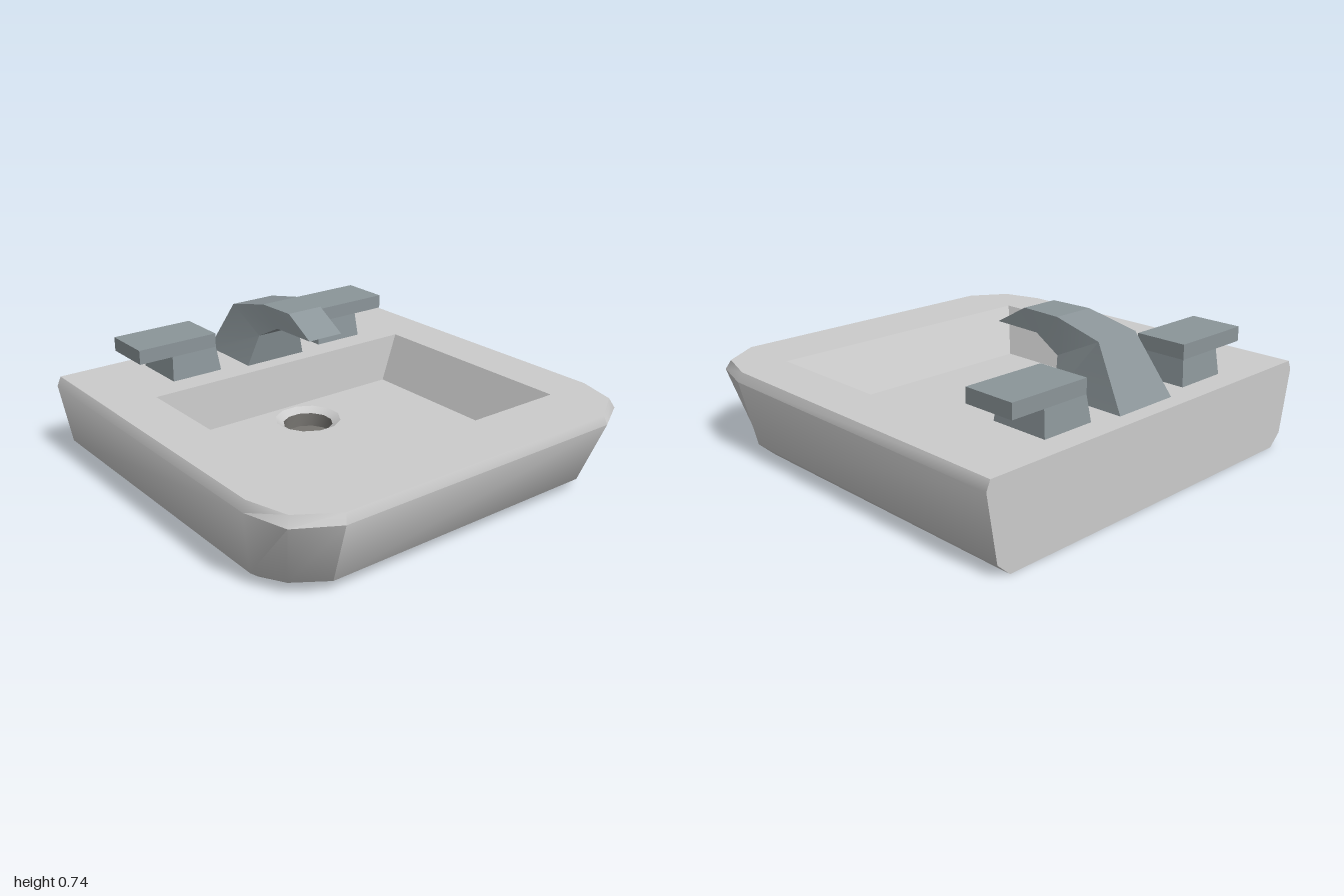
import * as THREE from 'three';
import { toCreasedNormals } from 'three/addons/utils/BufferGeometryUtils.js';

const ceramic = new THREE.MeshStandardMaterial({ color: 0xcccccc });
const metal = new THREE.MeshStandardMaterial({ color: 0x8b9599 });
const dark = new THREE.MeshStandardMaterial({ color: 0x767470 });

// Skin a stack of rings, each counter-clockwise seen from above, with optional end caps.
function loft(rings, { start = false, end = false, crease = 0.2 } = {}) {
  const n = rings[0].length, index = [];
  for (let r = 0; r < rings.length - 1; r++) {
    for (let i = 0; i < n; i++) {
      const j = (i + 1) % n, a = r * n, b = a + n;
      index.push(a + i, a + j, b + j, a + i, b + j, b + i);
    }
  }
  const last = (rings.length - 1) * n;
  for (let i = 1; i < n - 1; i++) {
    if (start) index.push(0, i + 1, i);
    if (end) index.push(last, last + i, last + i + 1);
  }
  const g = new THREE.BufferGeometry();
  g.setAttribute('position', new THREE.Float32BufferAttribute(rings.flat(2), 3));
  g.setIndex(index);
  return toCreasedNormals(g, crease);
}

// Flat upward-facing surface bounded by one ring, with another ring cut out.
function plateWithHole(outer, hole) {
  const flat = ring => ring.map(([x, , z]) => new THREE.Vector2(x, -z));
  const shape = new THREE.Shape(flat(outer));
  shape.holes.push(new THREE.Path(flat(hole)));
  return new THREE.ShapeGeometry(shape).rotateX(-Math.PI / 2).translate(0, outer[0][1], 0);
}

function rect(y, x0, x1, zBack, zFront) {
  return [[x1, y, zFront], [x1, y, zBack], [x0, y, zBack], [x0, y, zFront]];
}

function circle(y, radius, z, sides = 12) {
  return Array.from({ length: sides }, (_, i) => {
    const a = (i + 0.5) / sides * Math.PI * 2;
    return [radius * Math.cos(a), y, z - radius * Math.sin(a)];
  });
}

// Basin outline: straight back, two-facet front corners.
function outline(y, w, zSide, xCorner, zCorner, xFront, zFront) {
  return [
    [w, y, zSide], [w, y, -0.99], [-w, y, -0.99], [-w, y, zSide],
    [-xCorner, y, zCorner], [-xFront, y, zFront], [xFront, y, zFront], [xCorner, y, zCorner],
  ];
}

function add(parent, name, geometry, material) {
  const mesh = new THREE.Mesh(geometry, material);
  mesh.name = name;
  parent.add(mesh);
  return mesh;
}

export function createModel() {
  const model = new THREE.Group();
  model.name = 'washbasin';

  // Basin body and rim
  const basin = new THREE.Group();
  basin.name = 'basin';
  model.add(basin);
  const shell = [
    outline(0, 0.88, 0.58, 0.80, 0.70, 0.66, 0.79),
    outline(0.06, 0.945, 0.62, 0.87, 0.77, 0.72, 0.87),
    outline(0.37, 1.0, 0.67, 0.94, 0.88, 0.75, 0.99),
    outline(0.415, 0.98, 0.66, 0.92, 0.86, 0.74, 0.975),
  ];
  const bowlRim = rect(0.415, -0.74, 0.74, -0.46, 0.66);
  const bowlFoot = rect(0.175, -0.645, 0.645, -0.45, 0.55);
  add(basin, 'outerShell', loft(shell, { start: true, crease: 0.7 }), ceramic);
  add(basin, 'rim', plateWithHole(shell[3], bowlRim), ceramic);
  add(basin, 'bowlWalls', loft([bowlRim, bowlFoot]), ceramic);

  // Bowl floor with a bevelled drain
  const drainZ = -0.27;
  const drainTop = circle(0.175, 0.165, drainZ);
  const drainLip = circle(0.15, 0.125, drainZ);
  add(basin, 'bowlFloor', plateWithHole(bowlFoot, drainTop), ceramic);
  add(basin, 'drainBevel', loft([drainTop, drainLip], { crease: 0.7 }), ceramic);
  add(basin, 'drainWell', loft([drainLip, circle(0.08, 0.125, drainZ)], { end: true, crease: 0.7 }), dark);

  // Spout: half width, then front/under edge and back/top edge as [z, y]
  const spout = [
    [0.17, [-0.545, 0.415], [-0.91, 0.415]],
    [0.12, [-0.51, 0.575], [-0.74, 0.685]],
    [0.105, [-0.37, 0.645], [-0.49, 0.74]],
    [0.095, [-0.12, 0.645], [-0.285, 0.74]],
  ].map(([w, [zf, yf], [zb, yb]]) => [[w, yf, zf], [w, yb, zb], [-w, yb, zb], [-w, yf, zf]]);
  add(model, 'spout', loft(spout, { start: true, end: true }), metal);

  // Tap handles: tapered stem below a flat lever reaching outwards
  for (const [side, name] of [[1, 'leftTap'], [-1, 'rightTap']]) {
    const tap = new THREE.Group();
    tap.name = name;
    model.add(tap);
    const span = (y, a, b, zb, zf) => rect(y, Math.min(a * side, b * side), Math.max(a * side, b * side), zb, zf);
    add(tap, 'stem', loft([
      span(0.415, 0.305, 0.575, -0.87, -0.585),
      span(0.535, 0.32, 0.565, -0.855, -0.60),
    ], { start: true }), metal);
    add(tap, 'lever', loft([
      span(0.535, 0.32, 0.74, -0.855, -0.60),
      span(0.605, 0.32, 0.74, -0.855, -0.60),
    ], { start: true, end: true }), metal);
  }
  return model;
}
